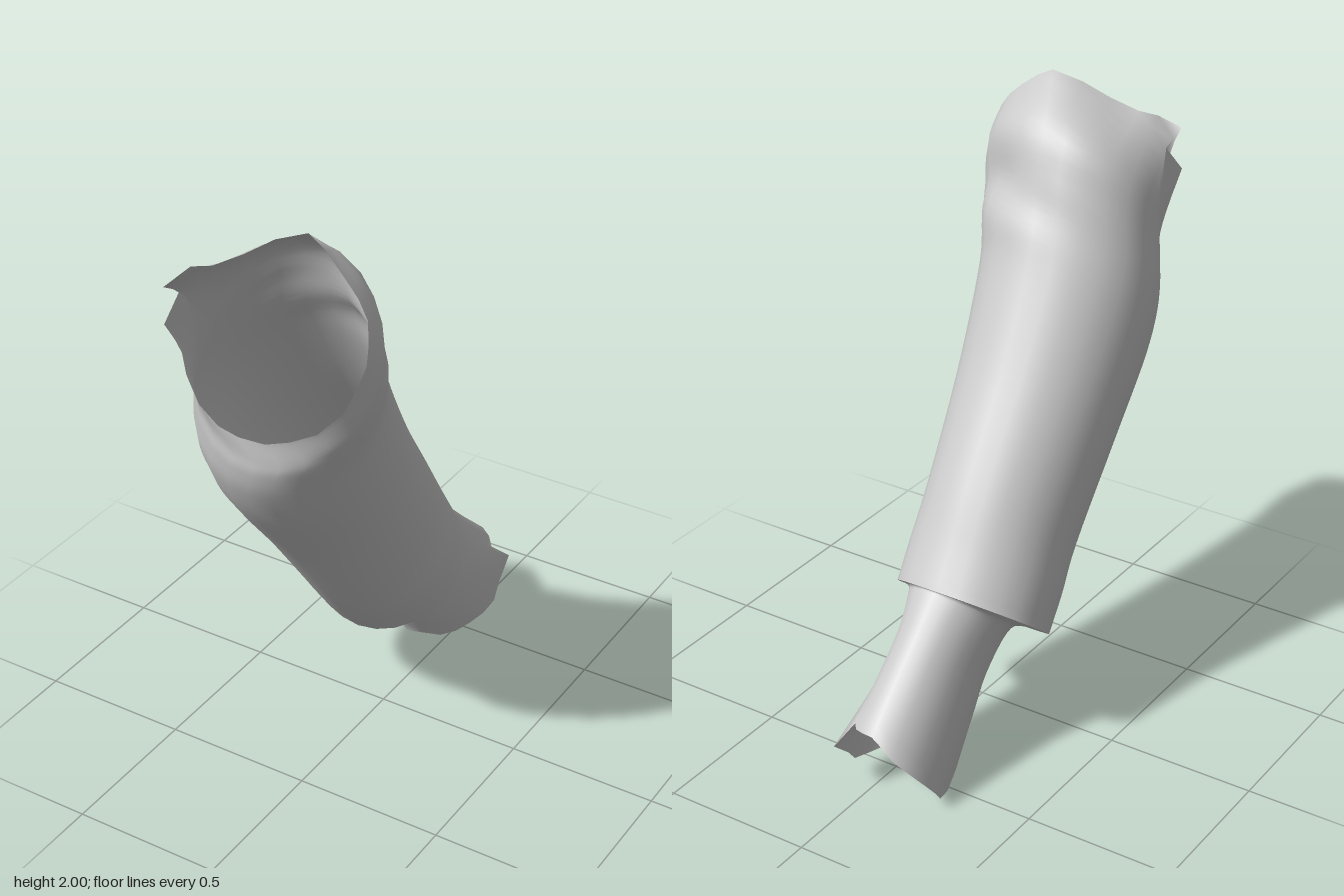
import * as THREE from 'three';

const SEG = 24;
const material = new THREE.MeshStandardMaterial({ color: 0xcccccc, side: THREE.DoubleSide });

// Oval ring between a front point and a back point (each [z, y]) and two x limits.
// Angle 0 is the +x side, 90 degrees is the back.
function ring([front, back, xMin, xMax]) {
  return Array.from({ length: SEG }, (_, j) => {
    const a = (j / SEG) * Math.PI * 2;
    const s = (1 + Math.sin(a)) / 2;
    return new THREE.Vector3(
      (xMin + xMax) / 2 + ((xMax - xMin) / 2) * Math.cos(a),
      THREE.MathUtils.lerp(front[1], back[1], s),
      THREE.MathUtils.lerp(front[0], back[0], s)
    );
  });
}

// Smooth skin through a list of rings; adjust(point, angle, ringIndex, centre) may shape it.
function loft(name, rings, rows, adjust) {
  const curves = Array.from({ length: SEG }, (_, j) =>
    new THREE.CatmullRomCurve3(rings.map((r) => r[j]), false, 'catmullrom', 0.5));
  const positions = [], index = [];
  for (let i = 0; i <= rows; i++) {
    const points = curves.map((c) => c.getPoint(i / rows));
    const centre = points.reduce((sum, p) => sum.add(p), new THREE.Vector3()).divideScalar(SEG);
    points.forEach((p, j) => {
      if (adjust) adjust(p, (j / SEG) * 360, (i / rows) * (rings.length - 1), centre);
      positions.push(p.x, p.y, p.z);
      if (i === rows) return;
      const a = i * SEG + j, b = i * SEG + ((j + 1) % SEG);
      index.push(a, b, a + SEG, b, b + SEG, a + SEG);
    });
  }
  const geometry = new THREE.BufferGeometry();
  geometry.setAttribute('position', new THREE.Float32BufferAttribute(positions, 3));
  geometry.setIndex(index);
  geometry.computeVertexNormals();
  const mesh = new THREE.Mesh(geometry, material);
  mesh.name = name;
  return mesh;
}

const bump = (d, width) => Math.exp(-((d / width) ** 2));

// Fabric fold near the top of the sleeve: a broad dent with a soft ridge below it
function fold(p, angle, row, centre) {
  const dent = 0.05 * bump(angle - 52, 30) * bump(row - 6.1 + (angle - 52) / 130, 0.7);
  const ridge = 0.022 * bump(angle - 60, 35) * bump(row - 5.0 + (angle - 60) / 130, 0.55);
  p.addScaledVector(centre.clone().sub(p).normalize(), dent - ridge);
}

export function createModel() {
  const group = new THREE.Group();

  // Outer sleeve, from the cuff up to its ragged opening
  const cuff = ring([[0.03, 0.29], [-0.38, 0.61], -0.335, 0.175]);
  const opening = [
    [0.34, 1.70, 0.64], [0.335, 1.76, 0.62], [0.32, 1.82, 0.60], [0.28, 1.87, 0.585],
    [0.22, 1.92, 0.57], [0.15, 1.97, 0.55], [0.09, 2.0, 0.54], [0.0, 1.97, 0.57],
    [-0.08, 1.92, 0.61], [-0.16, 1.88, 0.65], [-0.22, 1.87, 0.67], [-0.27, 1.82, 0.735],
    [-0.28, 1.79, 0.62], [-0.285, 1.69, 0.72], [-0.275, 1.61, 0.665], [-0.235, 1.53, 0.695],
    [-0.175, 1.46, 0.72], [-0.10, 1.42, 0.735], [-0.03, 1.405, 0.735], [0.06, 1.41, 0.735],
    [0.14, 1.44, 0.73], [0.22, 1.48, 0.71], [0.285, 1.55, 0.68], [0.32, 1.63, 0.66],
  ].map((p) => new THREE.Vector3(...p));
  const sleeveRings = [
    [[0.115, 0.39], [-0.30, 0.73], -0.33, 0.18],
    [[0.215, 0.52], [-0.20, 0.89], -0.32, 0.18],
    [[0.42, 0.80], [0.0, 1.19], -0.335, 0.205],
    [[0.605, 1.03], [0.16, 1.46], -0.345, 0.24],
    [[0.695, 1.18], [0.245, 1.61], -0.335, 0.27],
    [[0.73, 1.28], [0.295, 1.75], -0.31, 0.31],
    [[0.735, 1.34], [0.375, 1.88], -0.295, 0.335],
  ].map(ring);
  group.add(loft('sleeve', [cuff, ...sleeveRings, opening], 40, fold));

  // Narrow inner sleeve with a torn lower edge: offsets slide the edge along the axis
  const tear = [0.12, 0.10, 0.11, -0.01, 0, 0, 0, 0.02, 0.05, 0.07, 0.09, 0.11,
    0.13, 0.15, 0.13, 0.07, 0.03, 0, -0.05, -0.05, 0.02, 0.05, 0.07, 0.10];
  const tornEdge = ring([[-0.33, 0.03], [-0.73, 0.27], -0.23, 0.08]);
  tornEdge.forEach((p, j) => p.add(new THREE.Vector3(0, -0.73, -0.68).multiplyScalar(tear[j])));
  tornEdge[2].set(0.07, 0.18, -0.73);

  // It flares at the top and closes against the cuff in one soft surface
  const innerRings = [
    [[-0.28, 0.10], [-0.60, 0.385], -0.215, 0.075],
    [[-0.20, 0.22], [-0.48, 0.50], -0.21, 0.07],
    [[-0.10, 0.335], [-0.395, 0.59], -0.23, 0.09],
    [[-0.05, 0.345], [-0.38, 0.605], -0.265, 0.115],
  ].map(ring);
  group.add(loft('innerSleeve', [tornEdge, ...innerRings, cuff], 20));

  return group;
}
